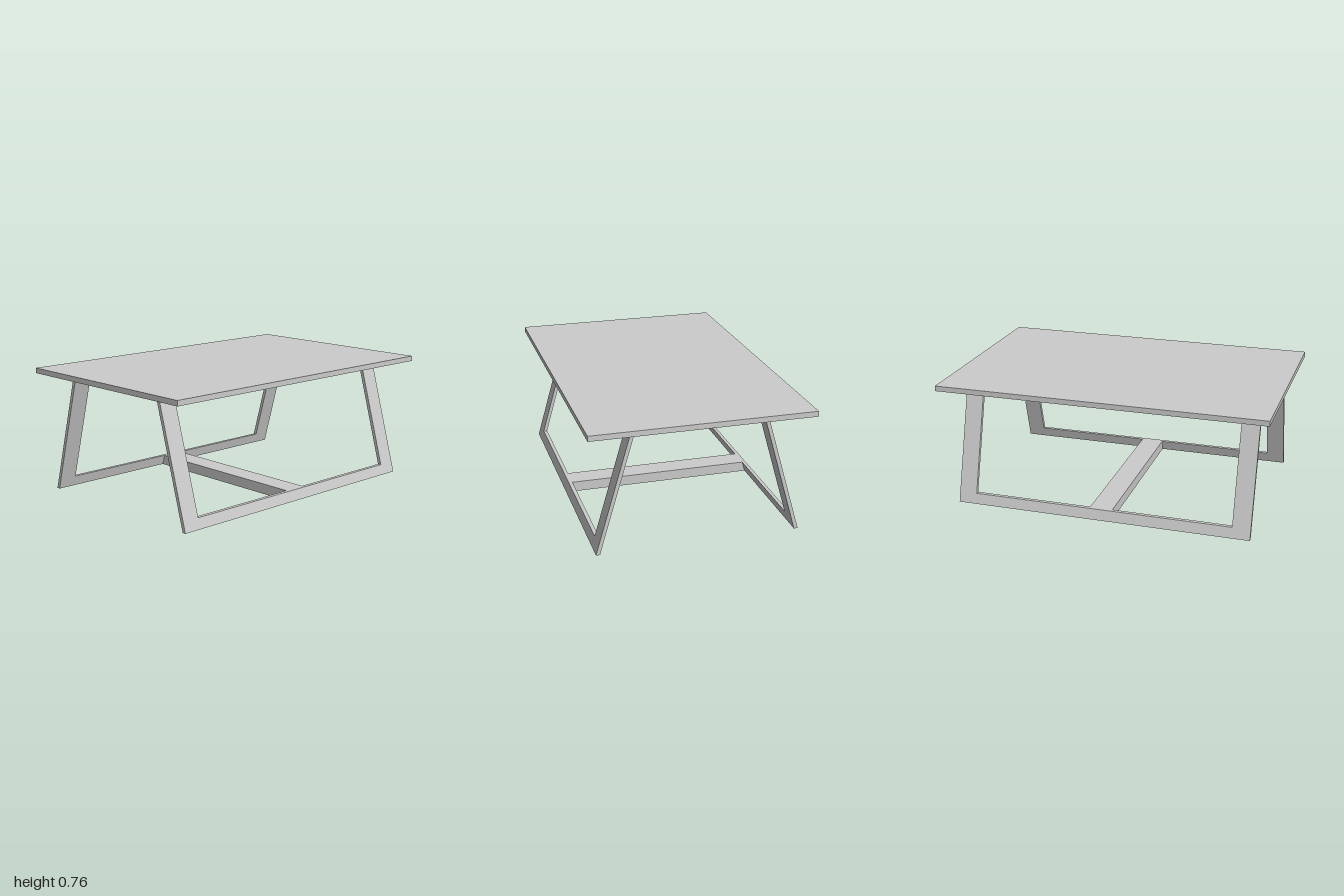
import * as THREE from 'three';

const material = new THREE.MeshStandardMaterial({ color: 0xcccccc, flatShading: true });

const FRAME_H = 0.705, SLAB_Y = 0.733, TOP_Y = 0.765;
const HALF_LENGTH = 0.91, LEG_W = 0.11, BAR_H = 0.063, PLANK = 0.023;
const SLOPE = 0.203 / FRAME_H;
// x of the inner face of a leaning frame at height y
const innerX = (y) => 0.582 - SLOPE * y;

const outline = (points) => new THREE.Shape(points.map(([x, y]) => new THREE.Vector2(x, y)));

function addMesh(group, name, geometry) {
  const mesh = new THREE.Mesh(geometry, material);
  mesh.name = name;
  group.add(mesh);
  return mesh;
}

// Outline in x/y extruded along z, centred on z = 0
function prism(points, length) {
  const g = new THREE.ExtrudeGeometry(outline(points), { depth: length, bevelEnabled: false });
  return g.translate(0, 0, -length / 2);
}

// U-shaped frame in z/y, sheared so that it leans inward
function leaningFrame() {
  const o = HALF_LENGTH, i = HALF_LENGTH - LEG_W;
  const shape = outline([
    [-o, 0], [o, 0], [o, FRAME_H], [i, FRAME_H],
    [i, BAR_H], [-i, BAR_H], [-i, FRAME_H], [-o, FRAME_H],
  ]);
  const g = new THREE.ExtrudeGeometry(shape, { depth: PLANK, bevelEnabled: false });
  g.rotateY(Math.PI / 2);
  const p = g.attributes.position;
  for (let k = 0; k < p.count; k++) p.setX(k, p.getX(k) + innerX(p.getY(k)));
  g.computeVertexNormals();
  return g;
}

export function createModel() {
  const table = new THREE.Group();
  table.name = 'table';

  // Flat top
  const top = addMesh(table, 'tableTop', new THREE.BoxGeometry(1.31, TOP_Y - SLAB_Y, 2));
  top.position.y = (TOP_Y + SLAB_Y) / 2;

  // Shallow tapered support under the top
  const b = innerX(FRAME_H) + PLANK;
  addMesh(table, 'taperedSupport', prism(
    [[-b, FRAME_H], [b, FRAME_H], [0.625, SLAB_Y], [-0.625, SLAB_Y]], 2 * HALF_LENGTH));

  // Pair of leaning leg frames
  const frame = leaningFrame();
  addMesh(table, 'leftLegFrame', frame);
  addMesh(table, 'rightLegFrame', frame).rotation.y = Math.PI;

  // Floor stretcher joining the frames, ends cut to their slope
  const lo = innerX(0), hi = innerX(BAR_H);
  addMesh(table, 'stretcher', prism([[-lo, 0], [lo, 0], [hi, BAR_H], [-hi, BAR_H]], 0.14));

  return table;
}
